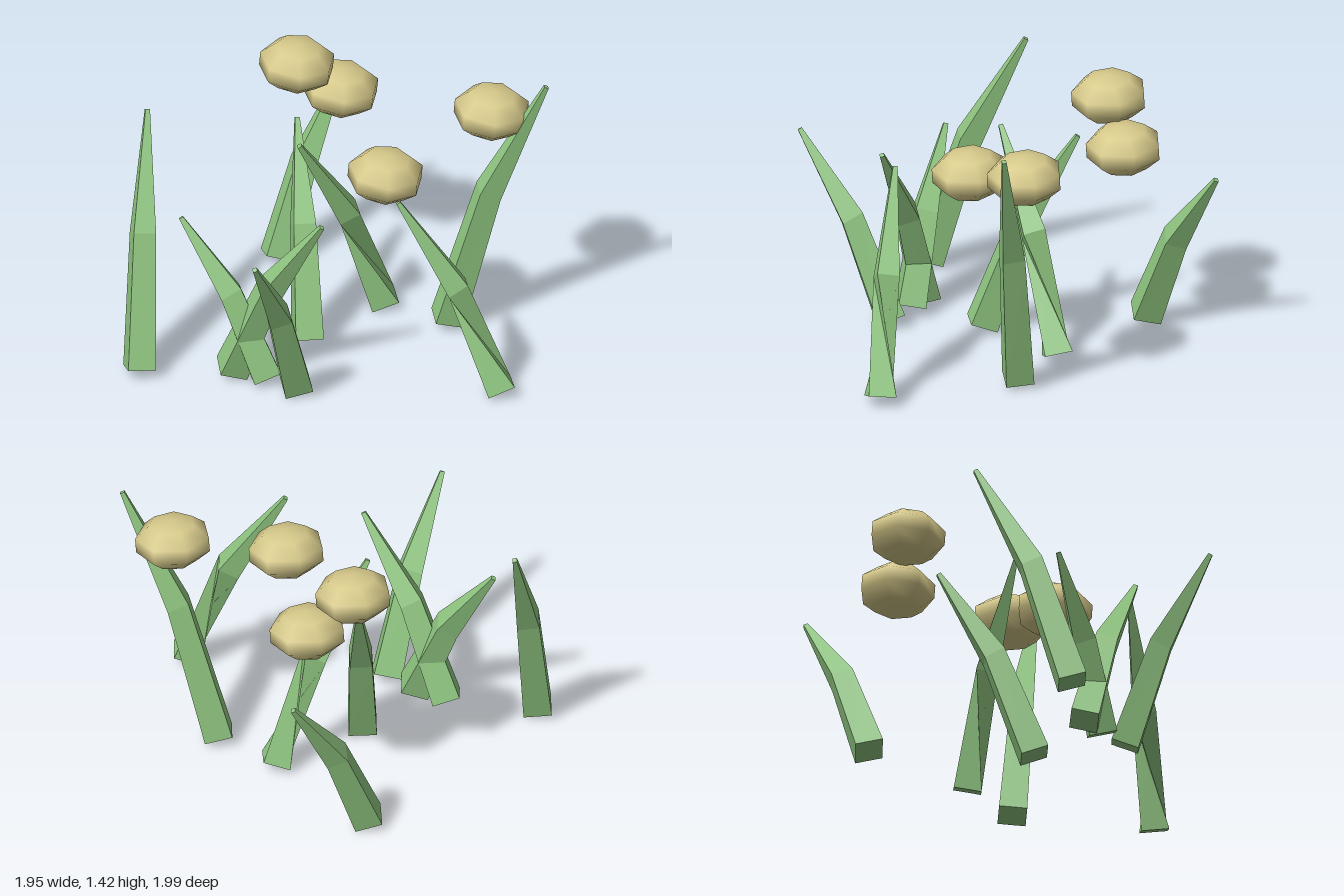
import * as THREE from 'three';

const leafGreen = new THREE.MeshStandardMaterial({ color: 0x8fc580, flatShading: true, side: THREE.DoubleSide });
leafGreen.name = 'leaf green';
const budYellow = new THREE.MeshStandardMaterial({ color: 0xd6c98a });
budYellow.name = 'bud yellow';

const UP = new THREE.Vector3(0, 1, 0);

// Four corners of a square ring facing along dir
function ring(center, dir, radius, phase) {
  const q = new THREE.Quaternion().setFromUnitVectors(UP, dir);
  return [0, 1, 2, 3].map(i => {
    const a = i * Math.PI / 2 + phase;
    return new THREE.Vector3(Math.cos(a) * radius, 0, Math.sin(a) * radius).applyQuaternion(q).add(center);
  });
}

// Tapered square blade with one bend; twist turns it over between base and bend
function bladeGeometry([bx, bz], [tx, ty, tz], twist) {
  const base = new THREE.Vector3(bx, 0.04, bz);
  const tip = new THREE.Vector3(tx, ty, tz);
  const mid = base.clone().lerp(tip, 0.42);
  mid.y = ty * 0.56;
  const low = mid.clone().sub(base).normalize();
  const high = tip.clone().sub(mid).normalize();
  const corners = [
    ...ring(base, low, 0.1, 0),
    ...ring(mid, high, 0.08, twist),
    ...ring(tip, high, 0.016, twist),
  ];
  const index = [0, 1, 2, 0, 2, 3, 8, 10, 9, 8, 11, 10];
  for (let r = 0; r < 2; r++) {
    for (let i = 0; i < 4; i++) {
      const a = r * 4 + i, c = r * 4 + (i + 1) % 4;
      index.push(a, a + 4, c, c, a + 4, c + 4);
    }
  }
  const g = new THREE.BufferGeometry().setFromPoints(corners);
  g.setIndex(index);
  const flat = g.toNonIndexed();
  flat.computeVertexNormals();
  return flat;
}

export function createModel() {
  const model = new THREE.Group();
  model.name = 'flowerClump';

  // Blades: base x z, tip x y z, twist
  const blades = [
    [[-0.78, -0.5], [-0.72, 0.9, -0.98], 0],
    [[-0.71, 0.8], [-0.96, 1.25, 0.375], 0],
    [[-0.19, 0.08], [-0.505, 1.04, -0.28], 0],
    [[-0.1, -0.45], [-0.275, 1.1, 0.03], Math.PI],
    [[0.875, -0.07], [0.425, 1.075, 0.17], Math.PI],
    [[0.27, -0.48], [0.71, 1.415, -0.715], 0],
    [[-0.15, 0.5], [-0.595, 0.855, 0.605], 0],
    [[-0.33, 0.54], [0.155, 0.975, 0.45], 0],
    [[0.03, 0.49], [0.12, 0.975, 0.985], 0],
  ];
  blades.forEach(([base, tip, twist], i) => {
    const blade = new THREE.Mesh(bladeGeometry(base, tip, twist), leafGreen);
    blade.name = 'blade' + (i + 1);
    model.add(blade);
  });

  // Flattened, slightly tilted seven-sided flower heads
  const head = new THREE.SphereGeometry(0.2, 7, 5);
  head.rotateY(Math.PI);
  head.scale(1, 0.62, 1);
  head.rotateZ(-0.1);
  const heads = [
    [-0.595, 1.255, -0.41],
    [-0.46, 1.067, -0.6],
    [0.16, 1.015, -0.1],
    [0.43, 1.215, -0.64],
  ];
  heads.forEach((p, i) => {
    const flower = new THREE.Mesh(head, budYellow);
    flower.name = 'flowerHead' + (i + 1);
    flower.position.set(...p);
    model.add(flower);
  });

  return model;
}
